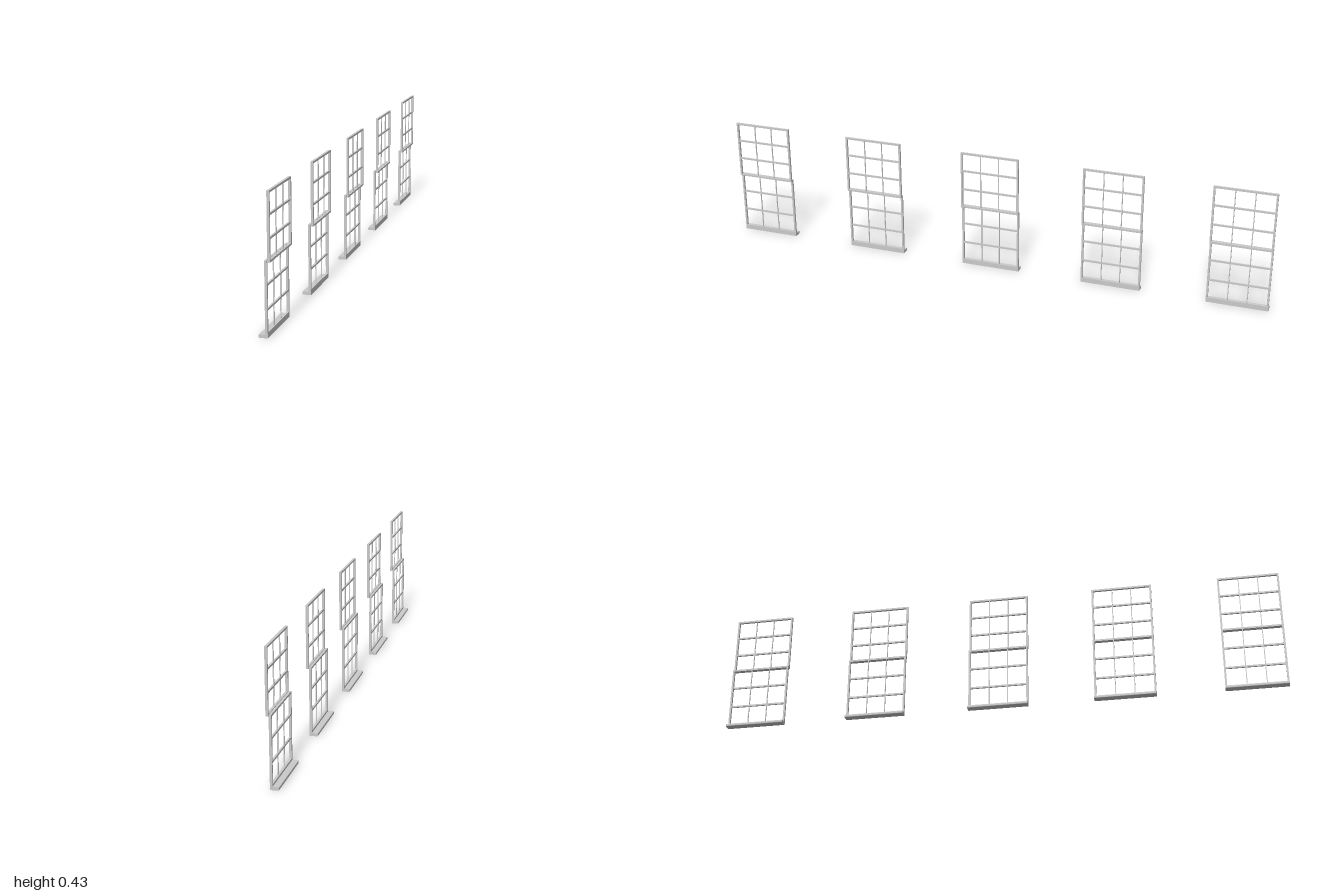
import * as THREE from 'three';

const material = new THREE.MeshStandardMaterial({ color: 0xcccccc, flatShading: true });
const WIDTH = 0.214, DEPTH = 0.008, FRAME = 0.0065, COLUMNS = 3, ROWS = 3;

function bar(parent, name, size, position) {
  const mesh = new THREE.Mesh(new THREE.BoxGeometry(...size), material);
  mesh.name = name;
  mesh.position.set(...position);
  parent.add(mesh);
}

// One sash: stiles, rails and a 3 x 3 grid of glazing bars
function createSash(name, bottom, top, x) {
  const sash = new THREE.Group();
  sash.name = name;
  const height = top - bottom, middle = (top + bottom) / 2;
  const innerWidth = WIDTH - 2 * FRAME, innerHeight = height - 2 * FRAME;

  for (const side of [-1, 1]) {
    bar(sash, 'stile', [DEPTH, height, FRAME], [x, middle, side * (WIDTH - FRAME) / 2]);
    bar(sash, 'rail', [DEPTH, FRAME, innerWidth], [x, middle + side * (height - FRAME) / 2, 0]);
  }
  for (let i = 1; i < COLUMNS; i++) {
    const z = (i / COLUMNS - 0.5) * innerWidth;
    bar(sash, 'verticalGlazingBar', [0.0035, innerHeight, 0.003], [x, middle, z]);
  }
  for (let i = 1; i < ROWS; i++) {
    const y = middle + (i / ROWS - 0.5) * height;
    bar(sash, 'horizontalGlazingBar', [0.006, 0.006, innerWidth], [x, y, 0]);
  }
  return sash;
}

// Sill projecting to the outside, with a rounded nose
function createSill() {
  const back = 0.0092, nose = -0.0185, top = 0.0105, r = 0.003;
  const profile = new THREE.Shape();
  profile.moveTo(back, 0);
  profile.lineTo(back, top);
  profile.lineTo(nose + r, top);
  profile.quadraticCurveTo(nose, top, nose, top - r);
  profile.lineTo(nose, r);
  profile.quadraticCurveTo(nose, 0, nose + r, 0);
  const geometry = new THREE.ExtrudeGeometry(profile, { depth: WIDTH, bevelEnabled: false, curveSegments: 4 });
  geometry.translate(0, 0, -WIDTH / 2);
  const sill = new THREE.Mesh(geometry, material);
  sill.name = 'sill';
  return sill;
}

function createWindow() {
  const unit = new THREE.Group();
  unit.name = 'sashWindow';
  unit.add(createSash('lowerSash', 0.0105, 0.231, 0.0052));
  unit.add(createSash('upperSash', 0.225, 0.434, 0.0145));
  unit.add(createSill());
  return unit;
}

export function createModel() {
  const model = new THREE.Group();
  model.name = 'windowRow';
  // Five equal windows in a row along z
  const spacing = (2 - WIDTH) / 4;
  for (let i = -2; i <= 2; i++) {
    const unit = createWindow();
    unit.position.z = i * spacing;
    model.add(unit);
  }
  return model;
}
